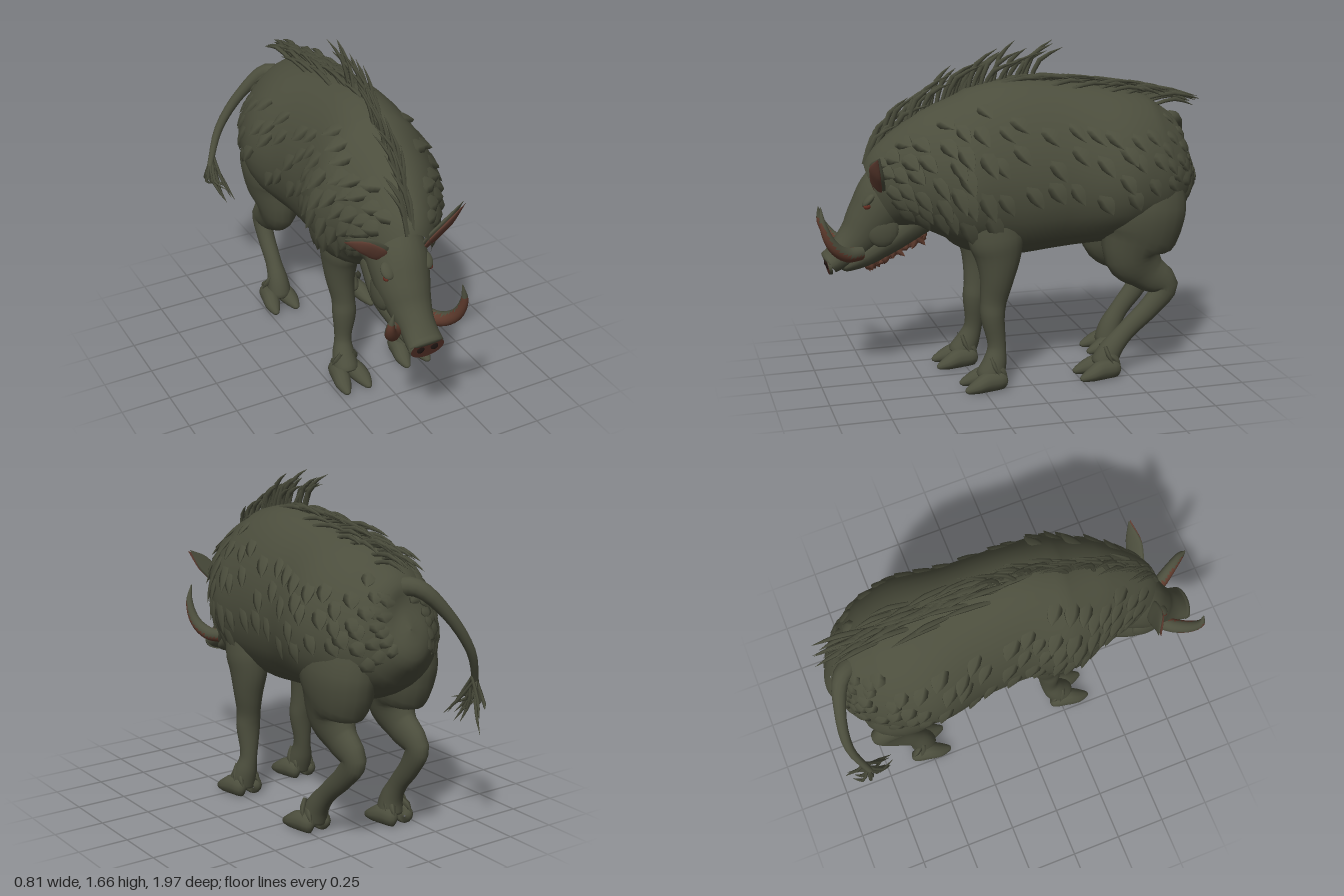
import * as THREE from 'three';
import { mergeGeometries } from 'three/addons/utils/BufferGeometryUtils.js';

const V = (x, y, z) => new THREE.Vector3(x, y, z);
const mat = (name, color) => Object.assign(new THREE.MeshStandardMaterial({ color }), { name });

let seed = 7;
const rnd = () => (seed = (seed * 16807) % 2147483647) / 2147483647;
const jit = (a) => (rnd() * 2 - 1) * a;

// Smooth curves through rows of [x, y, z, half width, half height]; pear narrows the top
function curves(rows, pear = 0) {
  return {
    pear,
    path: new THREE.CatmullRomCurve3(rows.map((r) => V(r[0], r[1], r[2]))),
    size: new THREE.CatmullRomCurve3(rows.map((r) => V(r[3], r[4], 0))),
  };
}

// Point on a lofted form: k inflates the cross-section
function surface(c, t, a, k = 1, hint = V(1, 0, 0)) {
  const p = c.path.getPoint(t), s = c.size.getPoint(t), T = c.path.getTangent(t);
  const side = hint.clone().addScaledVector(T, -hint.dot(T)).normalize();
  const up = T.clone().cross(side);
  p.addScaledVector(side, Math.max(s.x, 0.0005) * k * Math.cos(a) * (1 - c.pear * Math.sin(a)));
  p.addScaledVector(up, Math.max(s.y, 0.0005) * k * Math.sin(a));
  p.y = Math.max(p.y, 0);
  return p;
}

// Closed loft of elliptical rings along a path
function loft(rows, sides = 16, steps = 4, hint, pear) {
  const c = curves(rows, pear), n = (rows.length - 1) * steps, pos = [], idx = [];
  for (let i = 0; i <= n; i++)
    for (let j = 0; j < sides; j++)
      pos.push(...surface(c, i / n, (j / sides) * Math.PI * 2, 1, hint).toArray());
  for (let i = 0; i < n; i++)
    for (let j = 0; j < sides; j++) {
      const a = i * sides + j, b = i * sides + ((j + 1) % sides);
      idx.push(a, b, a + sides, b, b + sides, a + sides);
    }
  const g = new THREE.BufferGeometry();
  g.setAttribute('position', new THREE.Float32BufferAttribute(pos, 3));
  g.setIndex(idx);
  g.computeVertexNormals();
  return g;
}

// Split faces into two material groups by a test on their first corner
function split(g, test) {
  const parts = [[], []], idx = g.index.array, p = V(0, 0, 0), n = V(0, 0, 0);
  for (let i = 0; i < idx.length; i += 3) {
    p.fromBufferAttribute(g.attributes.position, idx[i]);
    n.fromBufferAttribute(g.attributes.normal, idx[i]);
    parts[test(p, n) ? 0 : 1].push(idx[i], idx[i + 1], idx[i + 2]);
  }
  g.setIndex(parts.flat());
  g.addGroup(0, parts[0].length, 0);
  g.addGroup(parts[0].length, parts[1].length, 1);
  return g;
}

// Tapered lock of hair through three points
function lock(p, w, d, hint) {
  const widths = [0.8, 1, 0.03];
  return loft(p.map((q, i) => [q.x, q.y, q.z, w * widths[i], d * widths[i]]), 5, 2, hint);
}

export function createModel() {
  const model = new THREE.Group();
  model.name = 'boar';
  const hide = mat('olive hide', 0x4c4e3d), hair = mat('dark olive hair', 0x484a3a);
  const tuskMat = mat('brown tusk', 0x5f3b2d), skin = mat('brown ear skin', 0x603d31);
  const noseMat = mat('dark red nose', 0x4d2c24), red = mat('red eye', 0x662e22);
  const dark = mat('nostril black', 0x1e1512);
  const add = (name, geo, material, parent = model) => {
    const m = new THREE.Mesh(Array.isArray(geo) ? mergeGeometries(geo) : geo, material);
    m.name = name;
    parent.add(m);
    return m;
  };
  const ball = (name, p, s, material) => {
    const m = add(name, new THREE.SphereGeometry(1, 16, 10), material);
    m.position.set(...p);
    m.scale.set(...s);
    return m;
  };

  // Torso, rump to neck
  const bodyRows = [
    [0.02, 1.06, -0.87, 0.005, 0.005], [0.02, 1.05, -0.85, 0.11, 0.16], [0.02, 1.04, -0.79, 0.215, 0.25],
    [0.02, 1.03, -0.65, 0.315, 0.34], [0.02, 1.04, -0.45, 0.36, 0.38], [0.02, 1.05, -0.2, 0.315, 0.41],
    [0.02, 1.05, 0.05, 0.305, 0.43], [0, 1.04, 0.25, 0.32, 0.4], [-0.02, 1.03, 0.42, 0.27, 0.32],
    [-0.05, 0.99, 0.56, 0.2, 0.245], [-0.08, 0.93, 0.66, 0.14, 0.18],
  ];
  const body = curves(bodyRows, 0.13);
  add('body', loft(bodyRows, 36, 5, undefined, 0.13), hide);

  // Flat pointed fur flakes in bands on the flanks, longer on shoulders and neck
  const flakes = [];
  for (let i = 0; i < 20; i++)
    for (let j = 0; j < 5; j++)
      for (const s of [1, -1]) {
        const t = 0.12 + i * 0.043 + jit(0.015), front = t > 0.66;
        if (!front && t > 0.3 && (j === 0 || j === 4)) continue;
        const e = -0.45 + j * 0.34 + (i % 2) * 0.12 + jit(0.1);
        const at = (dt, drop, k) => surface(body, t + dt, s > 0 ? e - drop : Math.PI - e + drop, k);
        const long = front ? 1.3 : 1;
        const p = [at(0.006, 0, 0.975), at(-0.008, 0.13 * long, 1.005), at(-0.02, 0.27 * long, front ? 1.07 : 1.04)];
        const hint = at(0.03, 0, 1).sub(at(-0.03, 0, 1));
        flakes.push(lock(p, 0.034 + rnd() * 0.012, 0.008, hint));
      }
  add('furFlakes', flakes, hide);

  // Upright mane and swept back hair along the spine
  const mane = [], ridge = [];
  for (let i = 0; i < 44; i++) {
    const r = surface(body, 0.56 + 0.44 * (i / 43), Math.PI / 2, 0.95);
    r.x += jit(0.02) - 0.01;
    const h = 0.12 + rnd() * 0.09, back = 0.1 + rnd() * 0.08, dx = jit(0.05);
    mane.push(lock([r, r.clone().add(V(dx * 0.3, h * 0.65, -back * 0.3)), r.clone().add(V(dx, h, -back))], 0.009, 0.013));
  }
  for (let i = 0; i < 60; i++) {
    const u = i / 59, r = surface(body, 0.27 + 0.36 * u, Math.PI / 2 + jit(i % 3 ? 0.06 : 0.3), 0.985);
    const l = 0.18 + rnd() * 0.09, dx = jit(0.03), drop = 0.03 * (1 - u) - rnd() * 0.02;
    ridge.push(lock([r, r.clone().add(V(dx * 0.5, 0.02, -l * 0.5)), r.clone().add(V(dx, -drop, -l))], 0.014, 0.011));
  }
  add('mane', mane, hair);
  add('backRidge', ridge, hair);

  // Head and jaw
  add('head', loft([
    [-0.08, 0.98, 0.54, 0.13, 0.17], [-0.09, 0.92, 0.63, 0.14, 0.16], [-0.1, 0.82, 0.71, 0.13, 0.13],
    [-0.1, 0.73, 0.775, 0.105, 0.105], [-0.1, 0.66, 0.85, 0.085, 0.08], [-0.1, 0.615, 0.91, 0.088, 0.06],
    [-0.1, 0.603, 0.932, 0.088, 0.055], [-0.1, 0.6, 0.935, 0.002, 0.002]], 20), hide);
  add('jaw', loft([
    [-0.09, 0.82, 0.48, 0.1, 0.1], [-0.1, 0.72, 0.63, 0.115, 0.085], [-0.1, 0.635, 0.76, 0.085, 0.065],
    [-0.1, 0.585, 0.86, 0.06, 0.035], [-0.1, 0.575, 0.89, 0.002, 0.002]], 16), hide);

  // Snout disc with nostrils
  const nose = add('noseDisc', new THREE.CylinderGeometry(0.086, 0.09, 0.016, 24), [hide, noseMat, hide]);
  nose.scale.z = 0.6;
  nose.position.set(-0.1, 0.598, 0.937);
  nose.rotation.x = Math.PI / 2 + 0.2;
  for (const s of [1, -1]) {
    ball('nostril', [-0.1 + s * 0.036, 0.597, 0.945], [0.02, 0.018, 0.005], dark);
    ball('eye', [-0.1 + s * 0.114, 0.895, 0.757], [0.012, 0.014, 0.018], red);
    const brow = ball('brow', [-0.1 + s * 0.1, 0.925, 0.745], [0.032, 0.018, 0.045], hide);
    brow.rotation.x = 0.8;
    ball('cheek', [-0.1 + s * 0.1, 0.77, 0.68], [0.03, 0.085, 0.08], hide);
  }

  // Upcurved tusks, brown along the front of the base
  for (const [name, p, top] of [
    ['leftTusk', [[-0.02, 0.66, 0.79], [0.02, 0.665, 0.86], [0.055, 0.72, 0.93], [0.065, 0.82, 0.975], [0.045, 0.915, 0.985]], 0.82],
    ['rightTusk', [[-0.17, 0.65, 0.78], [-0.22, 0.655, 0.84], [-0.265, 0.7, 0.9], [-0.29, 0.77, 0.94], [-0.28, 0.84, 0.95]], 0.77]]) {
    const r = [0.036, 0.035, 0.029, 0.019, 0.002];
    const geo = loft(p.map((q, i) => [...q, r[i], r[i]]), 16);
    add(name, split(geo, (q, n) => q.y < top && n.z - n.y * 0.5 > -0.35), [tuskMat, hide]);
  }

  // Broad pointed ears with bare inner faces
  for (const [name, s, pts] of [
    ['leftEar', 1, [[0.005, 0.97, 0.7], [0.055, 1.02, 0.71], [0.12, 1.085, 0.725], [0.2, 1.165, 0.725]]],
    ['rightEar', -1, [[-0.18, 0.96, 0.68], [-0.22, 1.0, 0.685], [-0.28, 1.045, 0.68], [-0.365, 1.08, 0.645]]]]) {
    const w = [0.03, 0.056, 0.052, 0.002], hint = V(-s * 0.5, 0.6, 0.5);
    add(name, loft(pts.map((q, i) => [...q, w[i], w[i] * 0.25]), 12, 4, hint), hide);
    add(name + 'Inner', loft(pts.map((q, i) =>
      [q[0] + s * 0.006, q[1] - 0.006, q[2] + 0.01, w[i] * 0.8, w[i] * 0.18]), 12, 4, hint), skin);
  }

  // Ragged beard under the jaw
  const beard = [];
  for (let i = 0; i < 44; i++) {
    const u = i / 43, p = V(-0.1 + jit(0.035), 0.72 - u * 0.13, 0.46 + u * 0.28);
    beard.push(lock([p, p.clone().add(V(jit(0.01), -0.02, 0)), p.clone().add(V(jit(0.02), -0.03 - rnd() * 0.025, jit(0.03)))], 0.014, 0.02));
  }
  add('beard', beard, tuskMat);

  // Cloven foot: two toes, dewclaws and a fetlock tuft
  function foot(parent, x, z) {
    for (const k of [1, -1]) {
      const out = (d) => x + k * d;
      add('hoofToe', loft([
        [out(0.02), 0.045, z - 0.085, 0.005, 0.005], [out(0.035), 0.045, z - 0.07, 0.04, 0.045],
        [out(0.045), 0.045, z, 0.045, 0.05], [out(0.056), 0.03, z + 0.055, 0.04, 0.036],
        [out(0.06), 0.01, z + 0.11, 0.014, 0.014], [out(0.06), 0.006, z + 0.115, 0.001, 0.001]], 12), hide, parent);
      add('dewclaw', lock([V(out(0.03), 0.12, z - 0.04), V(out(0.045), 0.095, z - 0.07),
        V(out(0.05), 0.06, z - 0.095)], 0.017, 0.017), hide, parent);
      add('fetlockTuft', lock([V(out(0.03), 0.16, z - 0.02), V(out(0.052), 0.12, z - 0.03),
        V(out(0.07), 0.08, z - 0.05)], 0.012, 0.016, V(0, 0, 1)), hide, parent);
    }
  }

  // Legs: rows hold offset x, y, z and radii; the foot is shifted along z
  const fore = [
    [-0.02, 0.95, 0.2, 0.08, 0.13], [0, 0.75, 0.175, 0.092, 0.135], [0, 0.66, 0.165, 0.085, 0.115],
    [0, 0.55, 0.17, 0.07, 0.085], [-0.01, 0.43, 0.185, 0.057, 0.065], [-0.01, 0.36, 0.19, 0.06, 0.06],
    [0, 0.21, 0.172, 0.042, 0.045], [0.01, 0.13, 0.185, 0.056, 0.058], [0.015, 0.06, 0.21, 0.065, 0.07],
    [0.015, 0.04, 0.215, 0.002, 0.002]];
  const hind = [
    [-0.04, 1.05, -0.58, 0.13, 0.2], [0, 0.85, -0.57, 0.15, 0.225], [0, 0.74, -0.56, 0.14, 0.21],
    [0, 0.61, -0.535, 0.1, 0.155], [0, 0.52, -0.6, 0.065, 0.1], [0, 0.44, -0.7, 0.05, 0.068],
    [0, 0.34, -0.63, 0.045, 0.055], [0, 0.22, -0.5, 0.042, 0.048], [0, 0.13, -0.42, 0.055, 0.058],
    [0, 0.06, -0.385, 0.063, 0.068], [0, 0.04, -0.38, 0.002, 0.002]];
  for (const [name, rows, x, s, shift, knee, footZ] of [
    ['leftFrontLeg', fore, 0.208, 1, 0, 0.4, 0.23], ['rightFrontLeg', fore, -0.14, -1, 0.06, 0.4, 0.225],
    ['leftHindLeg', hind, 0.2, 1, 0, 0.5, -0.355], ['rightHindLeg', hind, -0.15, -1, -0.16, 0.5, -0.355]]) {
    const leg = new THREE.Group();
    leg.name = name;
    model.add(leg);
    add(name + 'Limb', loft(rows.map(([dx, y, z, a, b]) =>
      [x + s * dx, y, z + shift * Math.max(0, 1 - y / knee), a, b]), 20), hide, leg);
    foot(leg, x + s * 0.012, footZ + shift);
  }
  ball('hoofMark', [-0.208, 0.035, 0.335], [0.028, 0.028, 0.022], noseMat);

  // Tail curving to the right, ending in a wide tuft
  add('tail', loft([
    [0.01, 1.22, -0.72, 0.05, 0.05], [-0.05, 1.23, -0.82, 0.042, 0.042], [-0.17, 1.11, -0.885, 0.029, 0.029],
    [-0.3, 0.92, -0.905, 0.022, 0.022], [-0.385, 0.74, -0.85, 0.015, 0.015]], 12), hide);
  const tuft = [];
  for (let i = 0; i < 16; i++) {
    const p = V(-0.345 - rnd() * 0.04, 0.72 + rnd() * 0.07, -0.86), dx = jit(0.05), dz = jit(0.14);
    tuft.push(lock([p, p.clone().add(V(dx, -0.1, dz * 0.5)), p.clone().add(V(dx * 0.8 + 0.03, -0.1 - rnd() * 0.12, dz))], 0.009, 0.009));
  }
  add('tailTuft', tuft, hair);
  return model;
}
